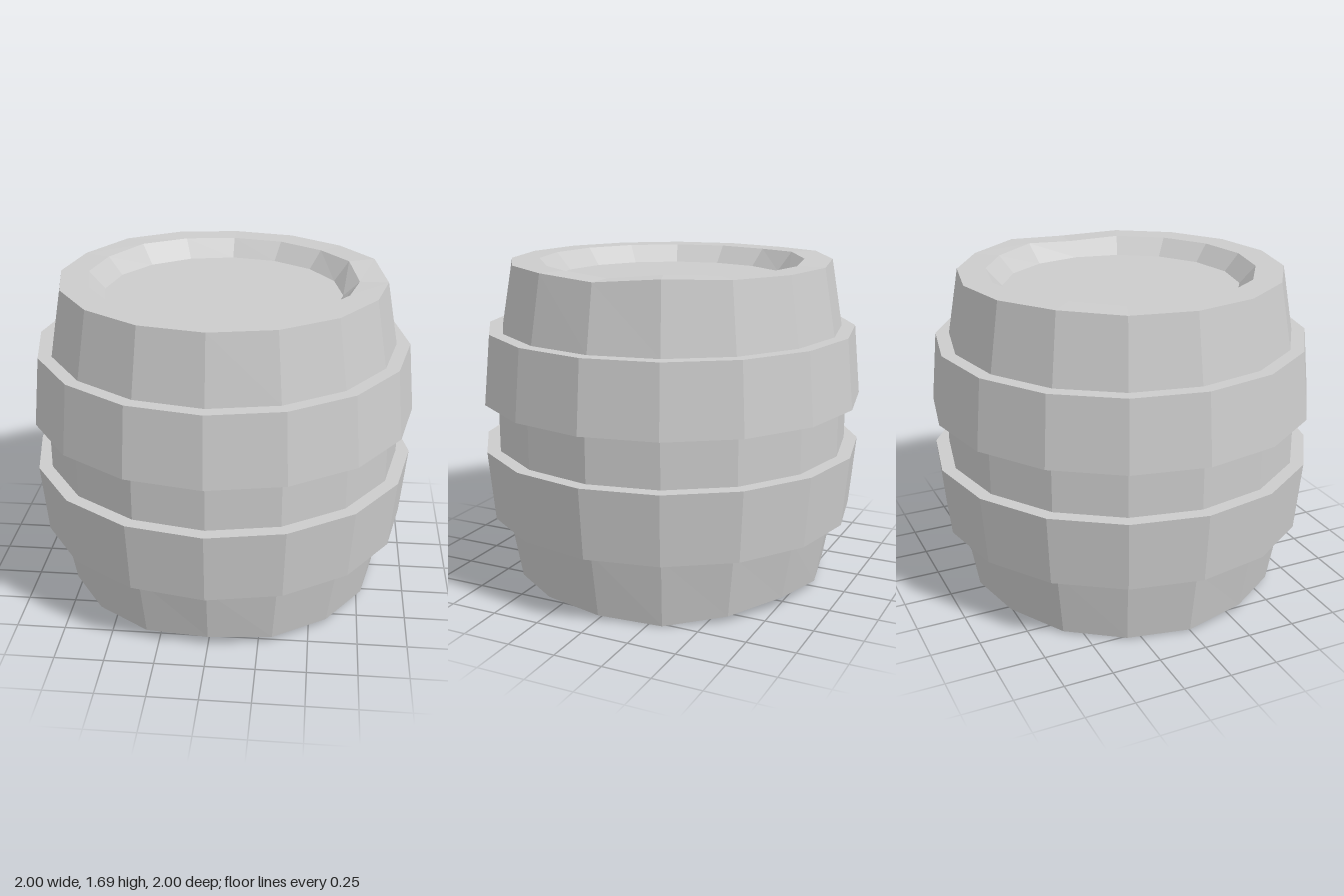
import * as THREE from 'three';

const SIDES = 16;
const TOP = 1.68, BOTTOM = 0.03;

// Uneven stave ends, one height per corner, counted from +x towards +z
const topEnds = [1.665, 1.68, 1.68, 1.68, 1.68, 1.68, 1.68, 1.68, 1.68, 1.68, 1.69, 1.685, 1.68, 1.68, 1.68, 1.69];
const bottomEnds = [0.02, 0.03, 0.03, 0.03, 0.055, 0.03, 0.03, 0.03, 0.005, 0.005, 0.01, 0.03, 0.03, 0.055, 0.03, 0];

function turned(name, profile, material) {
  const points = profile.map(([r, y]) => new THREE.Vector2(r, y));
  const geometry = new THREE.LatheGeometry(points, SIDES);
  const mesh = new THREE.Mesh(geometry, material);
  mesh.name = name;
  return mesh;
}

// Moves the rim corners up or down to make the staves uneven
function roughenRims(geometry) {
  const pos = geometry.attributes.position;
  for (let i = 0; i < pos.count; i++) {
    const y = pos.getY(i);
    const k = (Math.round(Math.atan2(pos.getZ(i), pos.getX(i)) / (Math.PI * 2 / SIDES)) + SIDES) % SIDES;
    if (Math.abs(y - TOP) < 1e-4) pos.setY(i, topEnds[k]);
    if (Math.abs(y - BOTTOM) < 1e-4) pos.setY(i, bottomEnds[k]);
  }
}

export function createModel() {
  const group = new THREE.Group();
  group.name = 'barrel';
  const grey = new THREE.MeshStandardMaterial({ color: 0xcccccc, flatShading: true });
  grey.name = 'plain grey';

  // Body of staves with a sunken lid at each end
  const body = turned('body', [
    [0, 0.12], [0.61, 0.12], [0.69, BOTTOM], [0.835, BOTTOM],
    [0.895, 0.365], [0.93, 0.73], [0.93, 0.98], [0.895, 1.34],
    [0.835, TOP], [0.69, TOP], [0.61, 1.59], [0, 1.59],
  ], grey);
  roughenRims(body.geometry);
  body.geometry.computeVertexNormals();
  group.add(body);

  // Two tapered hoops, widest towards the middle
  group.add(turned('lowerHoop', [
    [0.88, 0.365], [0.967, 0.365], [1, 0.73], [0.92, 0.73],
  ], grey));
  group.add(turned('upperHoop', [
    [0.92, 0.98], [1, 0.98], [0.965, 1.34], [0.88, 1.34],
  ], grey));

  return group;
}
